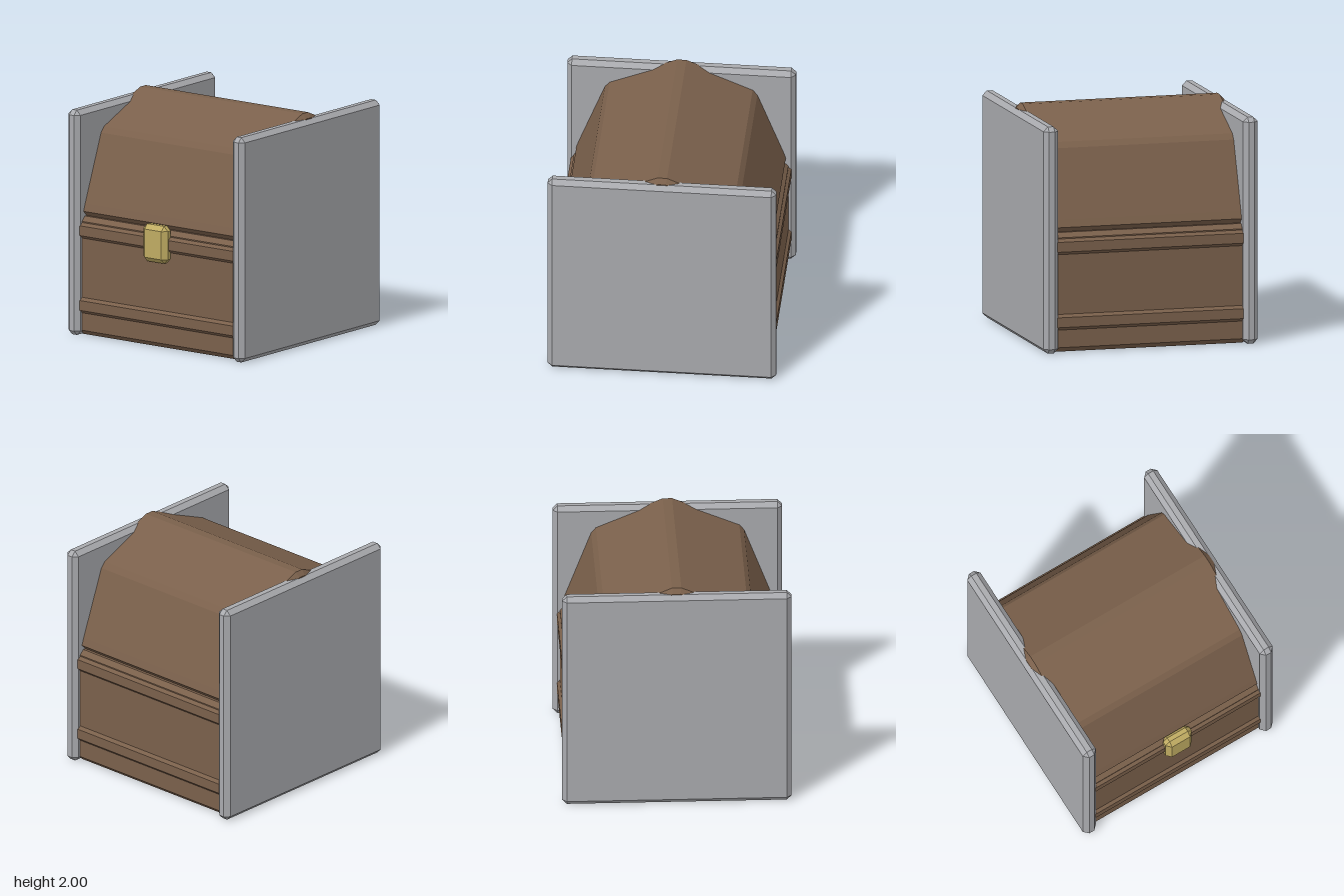
import * as THREE from 'three';
import { ConvexGeometry } from 'three/addons/geometries/ConvexGeometry.js';

const BEVEL = 0.04;

function makeMaterial(name, color) {
  const material = new THREE.MeshStandardMaterial({ color });
  material.name = name;
  return material;
}

// Box with every edge cut by a flat chamfer, centred on its own origin.
function chamferBox(w, h, d, b = BEVEL) {
  const points = [];
  for (const sx of [-1, 1]) for (const sy of [-1, 1]) for (const sz of [-1, 1]) {
    for (let axis = 0; axis < 3; axis++) {
      const cut = [b, b, b];
      cut[axis] = 0;
      points.push(new THREE.Vector3(
        sx * (w / 2 - cut[0]), sy * (h / 2 - cut[1]), sz * (d / 2 - cut[2])));
    }
  }
  return new ConvexGeometry(points);
}

// Half-octagon lid with chamfered ridges and ends, running along x.
function lidGeometry() {
  const half = [[0.85, 1.03], [0.893, 1.073], [0.87, 1.14], [0.65, 1.715], [0.61, 1.762], [0.04, 2]];
  const outline = [
    ...half,
    ...half.slice().reverse().map(([z, y]) => [-z, y]),
  ].map(([z, y]) => new THREE.Vector2(z, y));
  const length = 1.82;
  const geometry = new THREE.ExtrudeGeometry(new THREE.Shape(outline), {
    depth: length - 2 * BEVEL,
    bevelEnabled: true,
    bevelSegments: 1,
    bevelThickness: BEVEL,
    bevelSize: BEVEL,
    bevelOffset: -BEVEL,
  });
  geometry.translate(0, 0, -length / 2 + BEVEL);
  geometry.rotateY(Math.PI / 2);
  return geometry;
}

export function createModel() {
  const model = new THREE.Group();
  model.name = 'chest';
  const wood = makeMaterial('brown wood', 0x7a604b);
  const stone = makeMaterial('grey panel', 0xa9aaae);
  const brass = makeMaterial('brass', 0xbfab62);

  const add = (name, geometry, material, x, y, z) => {
    const mesh = new THREE.Mesh(geometry, material);
    mesh.name = name;
    mesh.position.set(x, y, z);
    model.add(mesh);
  };
  const midZ = -0.01;

  // Body and the two raised bands around it
  add('body', chamferBox(1.74, 1.027, 1.83), wood, 0, 0.5165, midZ);
  add('lowerBand', chamferBox(1.78, 0.165, 1.88), wood, 0, 0.2625, midZ);
  add('upperBand', chamferBox(1.78, 0.165, 1.88), wood, 0, 0.9125, midZ);

  // Lid
  add('lid', lidGeometry(), wood, 0, 0, midZ);

  // Side panels
  for (const [name, side] of [['leftPanel', 1], ['rightPanel', -1]]) {
    add(name, chamferBox(0.13, 1.955, 1.95), stone, side * 0.882, 0.9775, midZ);
  }

  // Front latch
  add('latch', chamferBox(0.26, 0.325, 0.12), brass, 0, 0.9125, 0.92);

  return model;
}
